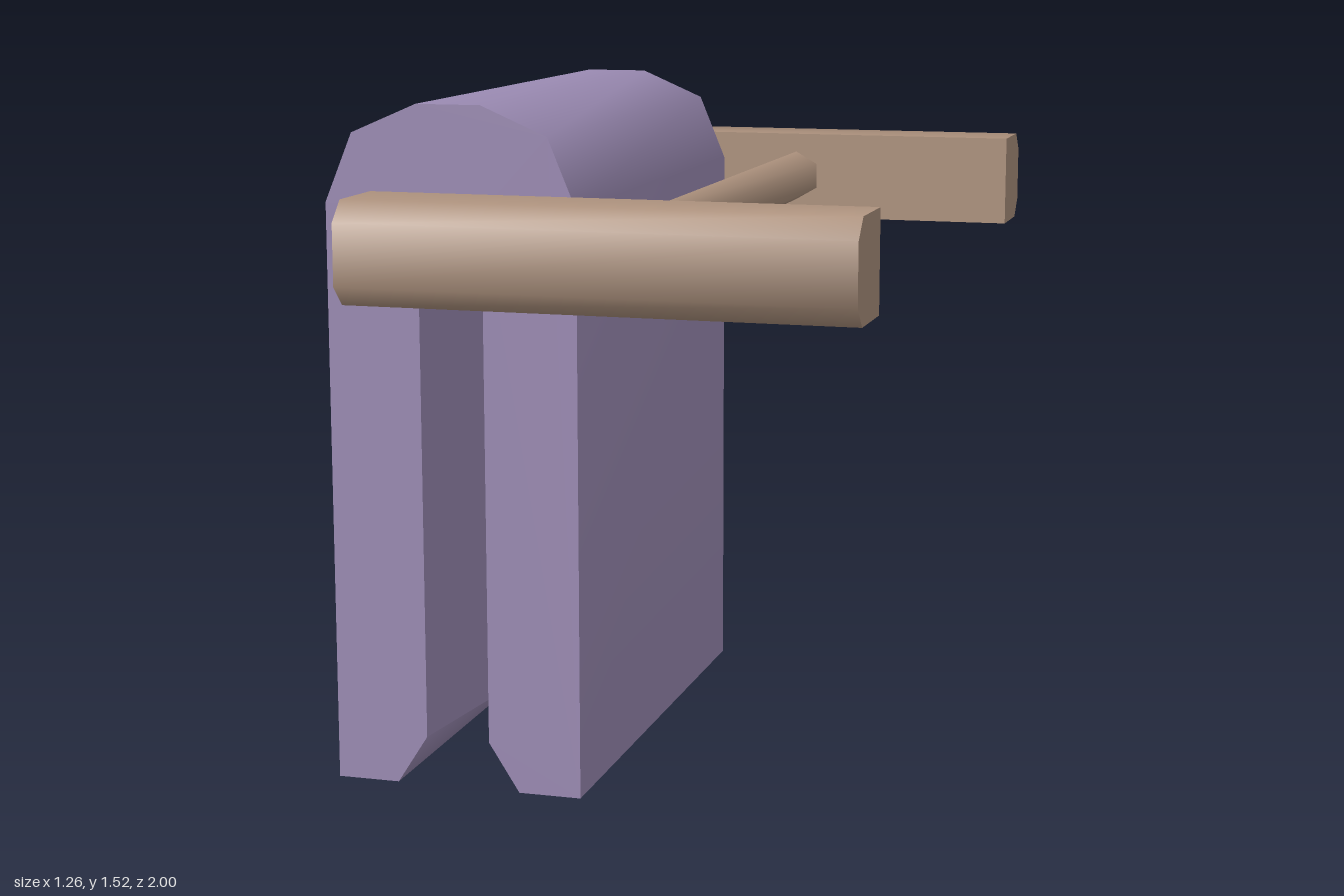
import * as THREE from 'three';
import { toCreasedNormals } from 'three/addons/utils/BufferGeometryUtils.js';

const cloth = new THREE.MeshStandardMaterial({ color: 0x9a8ab2 });
cloth.name = 'lilac cloth';
cloth.side = THREE.DoubleSide;
const wood = new THREE.MeshStandardMaterial({ color: 0xab907c });
wood.name = 'light wood';

// Extrudes a closed profile, centred along z, smooth except at sharp corners
function prism(points, length) {
  const shape = new THREE.Shape(points.map(([x, y]) => new THREE.Vector2(x, y)));
  const geometry = new THREE.ExtrudeGeometry(shape, { depth: length, bevelEnabled: false });
  geometry.translate(0, 0, -length / 2);
  return toCreasedNormals(geometry, 1.2);
}

function add(group, name, geometry, material) {
  const mesh = new THREE.Mesh(geometry, material);
  mesh.name = name;
  group.add(mesh);
  return mesh;
}

export function createModel() {
  const group = new THREE.Group();
  group.name = 'towelRack';
  const railY = 1.24;
  const towelX = -0.346;

  // Towel folded over the rail: half profile mirrored about the rail
  const outer = [[0.285, 0], [0.285, 1.3], [0.222, 1.452], [0.073, 1.516]];
  const inner = [[0.073, 1.29], [0.073, 0.11], [0.143, 0]];
  const mirror = (pts) => pts.map(([x, y]) => [-x, y]).reverse();
  const profile = [...outer, ...mirror(outer), ...mirror(inner), [0, 1.315], ...inner];
  const towel = add(group, 'towel', prism(profile, 1.22), cloth);
  towel.position.x = towelX;

  // Inner fold of cloth running diagonally through the slot
  const fold = add(group, 'towelInnerFold', new THREE.PlaneGeometry(Math.hypot(0.146, 1.22), 1.1), cloth);
  fold.position.set(towelX, 0.66, 0);
  fold.rotation.y = Math.atan2(1.22, 0.146);

  // Two hexagonal rails
  for (const [name, x] of [['towelRail', towelX], ['freeRail', 0.083]]) {
    const geometry = toCreasedNormals(new THREE.CylinderGeometry(0.062, 0.062, 1.6, 6), 1.2);
    geometry.rotateX(Math.PI / 2);
    const rail = add(group, name, geometry, wood);
    rail.position.set(x, railY, 0);
  }

  // End bars with bevelled outer edges
  const bar = [[-0.795, -0.108], [-0.795, 0.108], [-0.957, 0.108], [-1, 0.065], [-1, -0.065], [-0.957, -0.108]];
  for (const side of [1, -1]) {
    const points = bar.map(([s, y]) => [s * side, y]);
    const geometry = prism(points, 1.08).rotateY(Math.PI / 2);
    const mesh = add(group, side > 0 ? 'frontBar' : 'backBar', geometry, wood);
    mesh.position.set(0.09, railY, 0);
  }
  return group;
}
